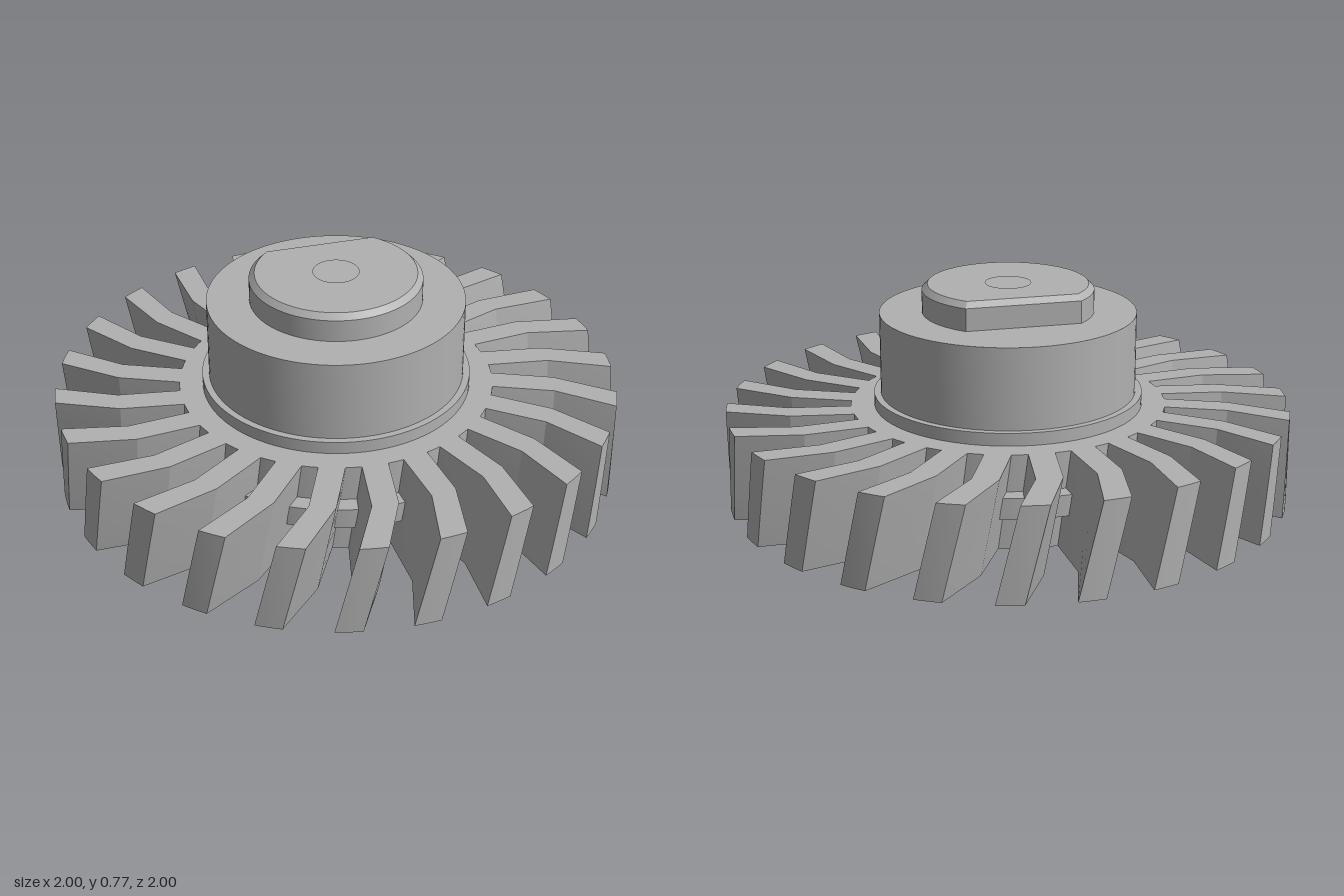
import * as THREE from 'three';
import { toCreasedNormals } from 'three/addons/utils/BufferGeometryUtils.js';

const BLADES = 24;
const HEIGHT = 0.335;
const TWIST = THREE.MathUtils.degToRad(4.5);

// Point at a clockwise angle (degrees) from the back, seen from above
function polar(deg, r) {
  const a = THREE.MathUtils.degToRad(deg);
  return new THREE.Vector2(Math.sin(a) * r, Math.cos(a) * r);
}

function circle(r, n = 72) {
  return Array.from({ length: n }, (_, i) => polar((i * 360) / n, r));
}

// Circle cut by a straight flat towards the back
function dOutline(r, flat) {
  const cut = THREE.MathUtils.radToDeg(Math.acos(flat / r));
  const n = 64;
  return Array.from({ length: n + 1 }, (_, i) => polar(cut + ((360 - 2 * cut) * i) / n, r));
}

// Extrude an outline with one hole upwards from y = 0
function extrudeUp(outline, hole, options) {
  const shape = new THREE.Shape(outline);
  shape.holes.push(new THREE.Path(hole));
  return new THREE.ExtrudeGeometry(shape, options).rotateX(-Math.PI / 2);
}

// Ring of kinked blades, twisted along its height
function bladeRingGeometry() {
  const outline = [];
  for (let i = 0; i < BLADES; i++) {
    const a = (i * 360) / BLADES;
    const profile = [
      [-17, 0.56], [-13.9, 0.78], [-8.4, 1], [-6.6, 1], [-4.8, 1], [-3, 1],
      [-7.3, 0.78], [-7.7, 0.56], [-4.85, 0.56],
    ];
    profile.forEach(([deg, r]) => outline.push(polar(a + deg, r)));
  }
  const geo = extrudeUp(outline, circle(0.47), { depth: HEIGHT, steps: 4, bevelEnabled: false });
  const pos = geo.attributes.position;
  const v = new THREE.Vector3();
  const up = new THREE.Vector3(0, 1, 0);
  for (let i = 0; i < pos.count; i++) {
    v.fromBufferAttribute(pos, i);
    v.applyAxisAngle(up, -TWIST * (1 - v.y / HEIGHT));
    pos.setXYZ(i, v.x, v.y, v.z);
  }
  return geo;
}

function lathe(points) {
  return new THREE.LatheGeometry(points.map(([x, y]) => new THREE.Vector2(x, y)), 96);
}

export function createModel() {
  const group = new THREE.Group();
  const metal = new THREE.MeshStandardMaterial({ color: 0xb0b0b0 });
  metal.name = 'grey metal';

  function add(name, geo, y = 0) {
    const mesh = new THREE.Mesh(toCreasedNormals(geo, 0.2), metal);
    mesh.name = name;
    mesh.position.y = y;
    group.add(mesh);
  }

  add('bladeRing', bladeRingGeometry());

  // Small ledge showing at the root of every gap
  add('gapLedge', lathe([[0.5, 0.13], [0.62, 0.13], [0.62, 0.205], [0.5, 0.205]]));

  // Stepped hub with a central bore
  add('hub', lathe([
    [0.1, 0.12], [0.47, 0.12], [0.47, 0.33], [0.477, 0.33], [0.477, 0.38],
    [0.453, 0.38], [0.453, 0.67], [0.1, 0.67], [0.1, 0.12],
  ]));

  // Chamfered boss with a flat, and the matching socket underneath
  const chamfer = { bevelThickness: 0.02, bevelSize: 0.02, bevelOffset: -0.02, bevelSegments: 1 };
  add('boss', extrudeUp(dOutline(0.303, 0.225), circle(0.1, 48), { depth: 0.09, ...chamfer }), 0.66);
  add('socketPlate', extrudeUp(circle(0.49), dOutline(0.31, 0.23), { depth: 0.1, ...chamfer }), 0.02);

  return group;
}
